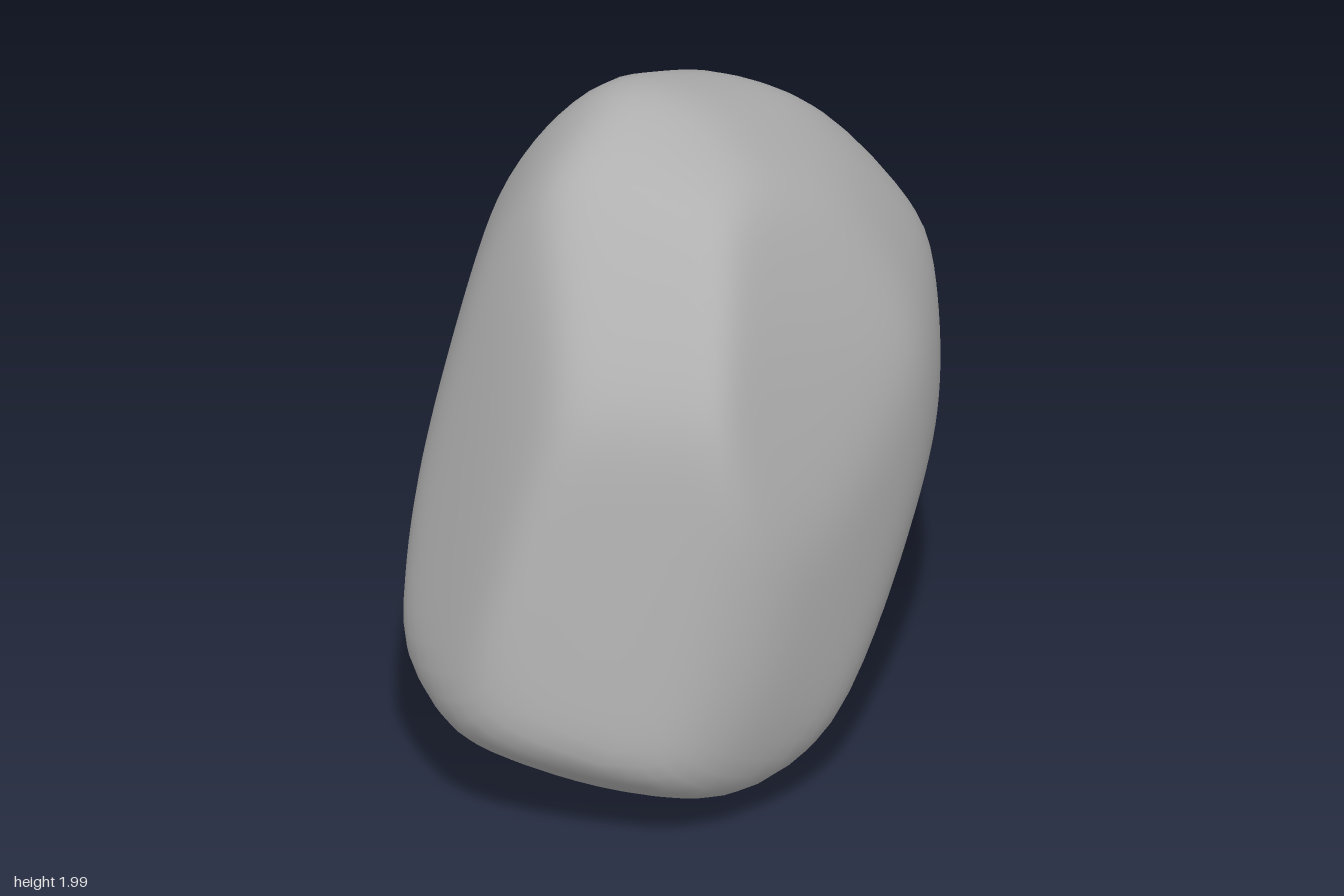
import * as THREE from 'three';
import { mergeVertices } from 'three/addons/utils/BufferGeometryUtils.js';

const V = (x, y, z) => new THREE.Vector3(x, y, z);
const A = THREE.MathUtils.degToRad(35), E = THREE.MathUtils.degToRad(20);

// Axes of a tilted plane facing (cx, cz) on the compass at elevation e
const tilted = (cx, cz, e) => [
  V(cz, 0, -cx),
  V(-cx * Math.sin(e), Math.cos(e), -cz * Math.sin(e)),
];

// Each outline: its two axes, how far the stone reaches from its middle at every 30 degrees,
// and its flatter sides as [degrees, reach]
const outlines = [
  // across the width
  { axes: [V(1, 0, 0), V(0, 1, 0)],
    reach: [.735, .76, .88, 1, .98, .76, .74, .935, .985, 1, .965, .84],
    flats: [[15, .745], [166, .667], [345, .752]] },
  // along the depth
  { axes: [V(0, 0, 1), V(0, 1, 0)],
    reach: [.89, .81, .94, 1, .99, .915, .89, .78, .85, 1, 1.11, 1.115],
    flats: [[8, .795], [42.6, .825], [195, .832], [220.5, .765]] },
  // level
  { axes: [V(1, 0, 0), V(0, 0, 1)],
    reach: [.735, .7, .82, .885, .945, .87, .735, .62, .69, .89, .98, .91],
    flats: [[19, .667], [195, .662], [224.5, .585], [255, .782], [345, .813]] },
  // tilted
  { axes: tilted(Math.sin(A), Math.cos(A), E),
    reach: [.93, .98, .985, 1, .92, .76, .88, 1.11, 1.1, 1.07, .96, .84],
    flats: [[164, .69], [345, .865]] },
  { axes: tilted(-Math.sin(A), -Math.cos(A), E),
    reach: [.88, .78, .91, .91, .84, .9, .93, .87, .82, .87, .99, 1.025],
    flats: [[20, .735], [135, .85], [195, .89]] },
  { axes: tilted(Math.sin(A), -Math.cos(A), -E),
    reach: [.59, .75, .96, .96, .84, .68, .73, 1, 1.13, 1.1, .995, .8],
    flats: [[162, .643], [195, .855], [345, .658]] },
];

// Planes touching each outline all the way round
const tangentPlanes = () => outlines.flatMap(({ axes: [right, up], reach, flats }) =>
  [...reach.map((r, i) => [i * 30, r]), ...flats].map(([degrees, r]) => {
    const a = THREE.MathUtils.degToRad(degrees);
    const n = right.clone().multiplyScalar(Math.cos(a)).addScaledVector(up, Math.sin(a));
    return { n, reach: r, h: r };
  }));

// A sphere cut by all planes, with softly blended edges
function boulderGeometry() {
  const sphere = new THREE.IcosahedronGeometry(1, 20);
  sphere.deleteAttribute('uv');
  sphere.deleteAttribute('normal');
  const geo = mergeVertices(sphere, 1e-4);
  const pos = geo.attributes.position;
  const planes = tangentPlanes(), sharpness = 28;
  const dirs = Array.from({ length: pos.count }, (_, i) => V(0, 0, 0).fromBufferAttribute(pos, i).normalize());

  // Blended surface point in direction d
  const surface = (d) => {
    let sum = 0;
    for (const { n, h } of planes) sum += Math.max(0, n.dot(d) / h) ** sharpness;
    return d.clone().multiplyScalar(sum ** (-1 / sharpness));
  };

  // Move each plane until the blended surface reaches its outline
  for (let pass = 0; pass < 25; pass++) {
    const points = dirs.map(surface);
    for (const p of planes) {
      const got = points.reduce((m, q) => Math.max(m, p.n.dot(q)), 0);
      p.h = Math.min(p.h * (p.reach / got) ** 0.7, p.reach * 1.3);
    }
  }

  dirs.map(surface).forEach((p, i) => pos.setXYZ(i, p.x, p.y, p.z));
  geo.computeVertexNormals();
  return geo;
}

export function createModel() {
  const stone = new THREE.MeshStandardMaterial({ color: 0xb0b0b0 });
  stone.name = 'stone grey';
  const group = new THREE.Group();
  group.name = 'rock';
  const boulder = new THREE.Mesh(boulderGeometry(), stone);
  boulder.name = 'boulder';
  boulder.position.y = 1;
  group.add(boulder);
  return group;
}
